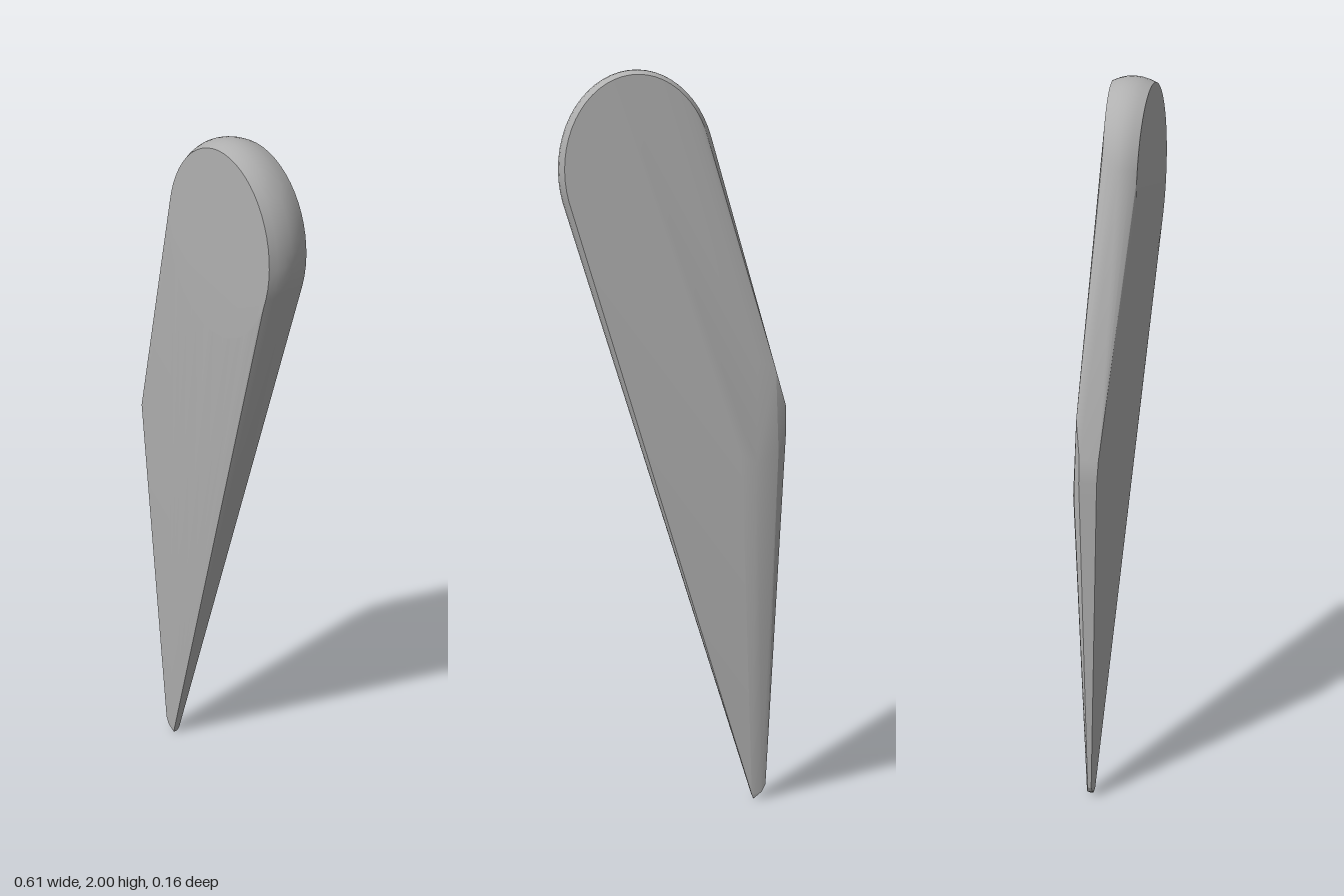
import * as THREE from 'three';
import { ConvexGeometry } from 'three/addons/geometries/ConvexGeometry.js';
import { toCreasedNormals } from 'three/addons/utils/BufferGeometryUtils.js';

export function createModel() {
  const group = new THREE.Group();
  const grey = new THREE.MeshStandardMaterial({ color: 0xb0b0b0 });
  grey.name = 'grey';
  const points = [];
  const add = (x, y, z) => points.push(new THREE.Vector3(x, y, z));

  // Rounded head: an oval disc with a bulging rim, slightly wedge-shaped in depth
  const sides = 56, rings = 7;
  for (let r = 0; r < rings; r++) {
    const t = r / (rings - 1);
    const inset = 0.014 * (2 * t - 1) ** 2;
    for (let i = 0; i < sides; i++) {
      const a = (i / sides) * Math.PI * 2;
      const x = 0.093 + Math.cos(a) * (0.212 - inset);
      const y = 1.735 + Math.sin(a) * (0.265 - inset);
      const front = 0.071 + 0.042 * (x - 0.09);
      const back = -0.036 - 0.05 * (x - 0.09);
      add(x, y, THREE.MathUtils.lerp(front, back, t));
    }
  }

  // Knee on the outer edge, deepest at the back
  [
    [-0.305, 1.1, 0.0], [-0.305, 1.03, -0.005],
    [-0.305, 1.1, -0.05], [-0.305, 1.03, -0.052],
    [-0.275, 1.2, -0.063], [-0.225, 1.23, -0.068],
    [-0.282, 0.98, -0.07], [-0.22, 0.95, -0.084], [-0.18, 0.97, -0.084],
  ].forEach((p) => add(...p));

  // Narrow blunt tip at the bottom
  [
    [-0.256, 0.04, -0.034], [-0.256, 0.04, -0.044],
    [-0.245, 0.02, -0.032], [-0.245, 0.02, -0.048],
    [-0.222, 0, -0.034], [-0.222, 0, -0.046],
    [-0.217, 0.012, -0.03], [-0.217, 0.012, -0.05],
  ].forEach((p) => add(...p));

  // The blade is the taut skin around head, knee and tip
  const blade = new THREE.Mesh(toCreasedNormals(new ConvexGeometry(points), 0.3), grey);
  blade.name = 'blade';
  group.add(blade);
  return group;
}
